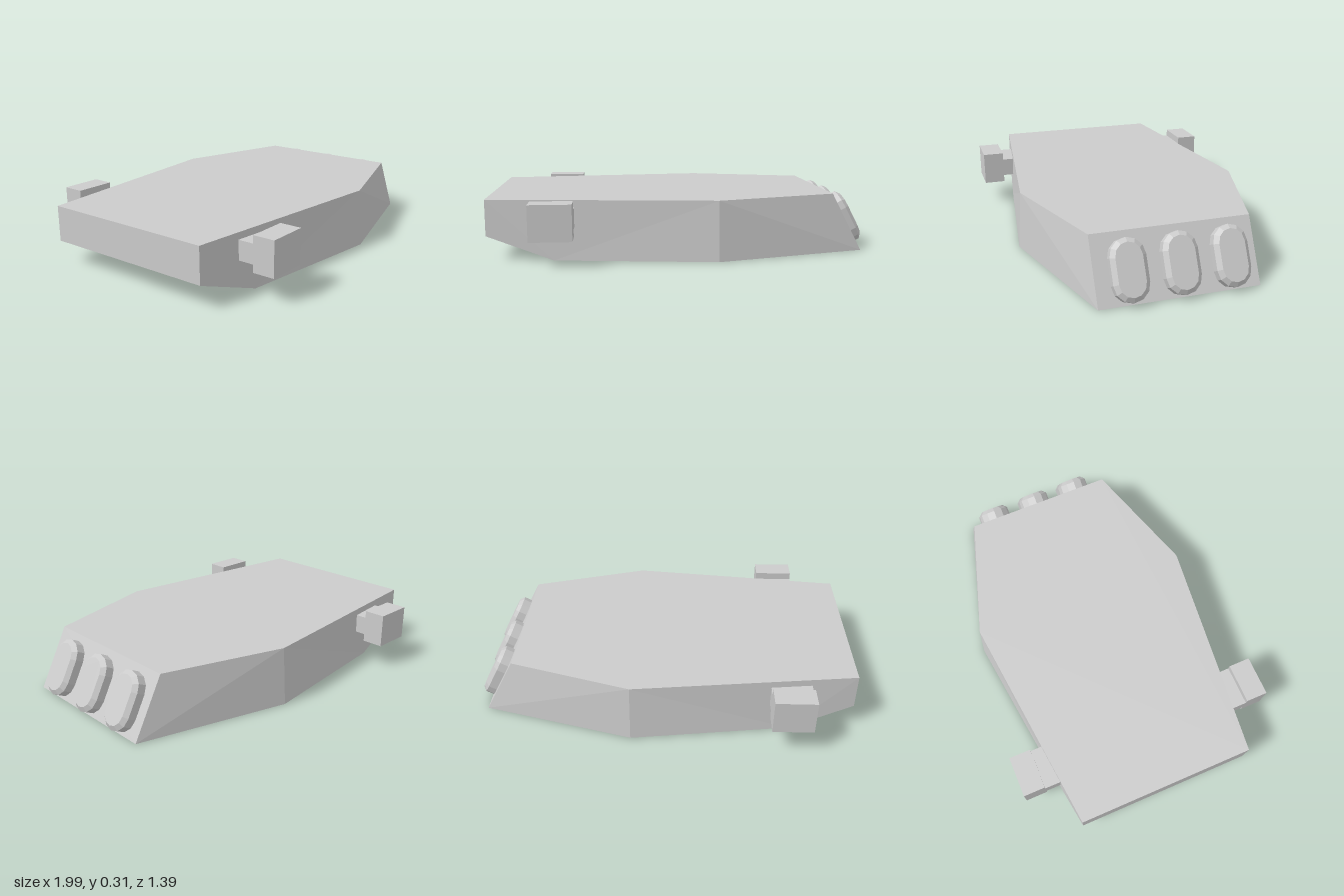
import * as THREE from 'three';

const material = new THREE.MeshStandardMaterial({ color: 0xcccccc, flatShading: true });

// Faceted hull from its corner points; faces are convex fans
function createHull() {
  const A = [-1, 0.305, 0.47], B = [0.16, 0.305, 0.6], C = [0.79, 0.305, 0.405]; // deck edge
  const D = [-1, 0.12, 0.47], E = [-0.66, 0, 0.515], F = [0.16, 0, 0.62], G = [0.95, 0, 0.405]; // lower edge
  const mirror = ([x, y, z]) => [x, y, -z];
  const [a, b, c, d, e, f, g] = [A, B, C, D, E, F, G].map(mirror);

  const side = [[A, D, E], [A, E, B], [B, E, F], [B, F, G], [B, G, C]];
  const faces = [
    ...side,
    ...side.map((t) => t.map(mirror).reverse()),
    [A, B, C, c, b, a], // deck
    [E, e, f, g, G, F], // floor
    [D, d, e, E], // raised rear floor
    [A, a, d, D], // rear
    [C, G, g, c], // sloped nose
  ];
  const positions = [];
  for (const face of faces) {
    for (let i = 1; i < face.length - 1; i++) positions.push(...face[0], ...face[i], ...face[i + 1]);
  }
  const geometry = new THREE.BufferGeometry();
  geometry.setAttribute('position', new THREE.Float32BufferAttribute(positions, 3));
  geometry.computeVertexNormals();
  const hull = new THREE.Mesh(geometry, material);
  hull.name = 'hull';
  return hull;
}

// Chamfered oblong pod, extruded along local z
function createPodGeometry() {
  const r = 0.0875, h = 0.063;
  const shape = new THREE.Shape();
  shape.absarc(0, h, r, 0, Math.PI, false);
  shape.absarc(0, -h, r, Math.PI, Math.PI * 2, false);
  shape.closePath();
  const geometry = new THREE.ExtrudeGeometry(shape, {
    depth: 0.065, curveSegments: 3, bevelEnabled: true,
    bevelThickness: 0.02, bevelSize: 0.022, bevelOffset: -0.022, bevelSegments: 1,
  });
  return geometry.translate(0, 0, -0.02);
}

function addBox(group, name, size, position) {
  const mesh = new THREE.Mesh(new THREE.BoxGeometry(...size), material);
  mesh.name = name;
  mesh.position.set(...position);
  group.add(mesh);
}

export function createModel() {
  const model = new THREE.Group();
  model.name = 'model';
  model.add(createHull());

  // Three pods standing on the sloped nose
  const up = new THREE.Vector3(-0.16, 0.305, 0).normalize();
  const out = new THREE.Vector3(0.305, 0.16, 0).normalize();
  const basis = new THREE.Matrix4().makeBasis(new THREE.Vector3(0, 0, -1), up, out);
  const podGeometry = createPodGeometry();
  [-0.264, -0.01, 0.244].forEach((z, i) => {
    const pod = new THREE.Mesh(podGeometry, material);
    pod.name = `nosePod${i + 1}`;
    pod.quaternion.setFromRotationMatrix(basis);
    pod.position.set(0.876, 0.141, z);
    model.add(pod);
  });

  // Stepped side blocks: thin neck into the hull, thicker outer block
  for (const s of [1, -1]) {
    const mount = new THREE.Group();
    mount.name = s > 0 ? 'leftSideBlock' : 'rightSideBlock';
    addBox(mount, 'outerBlock', [0.21, 0.18, 0.115], [-0.66, 0.22, s * 0.6375]);
    addBox(mount, 'neck', [0.21, 0.1, 0.12], [-0.66, 0.22, s * 0.53]);
    model.add(mount);
  }
  return model;
}
